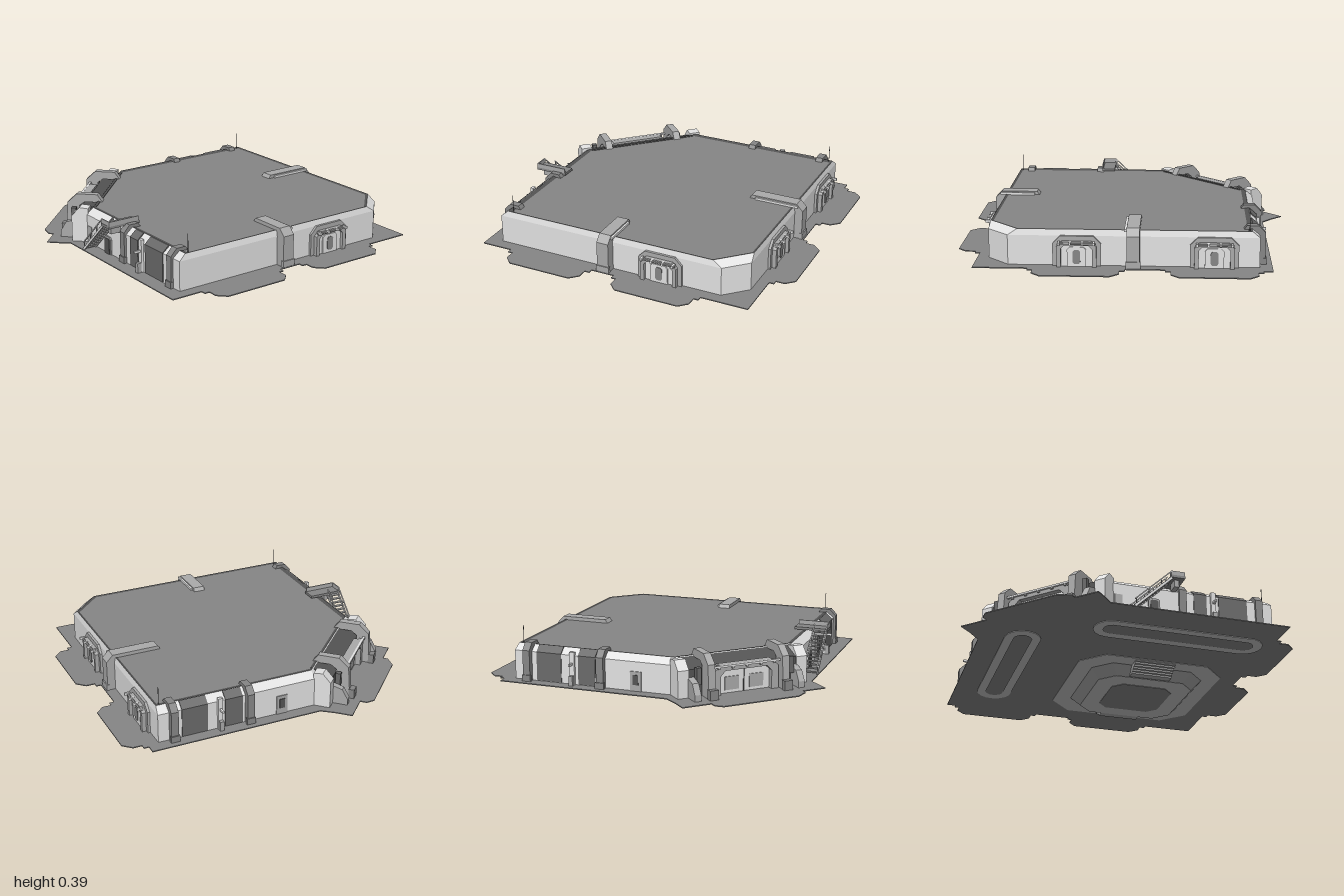
import * as THREE from 'three';

const mat = (name, color) => {
  const m = new THREE.MeshStandardMaterial({ color });
  m.name = name;
  return m;
};

export function createModel() {
  const model = new THREE.Group();
  model.name = 'outpostBase';
  const wall = mat('lightWall', 0xe2e2e2), trim = mat('midTrim', 0xaaaaaa);
  const roofGrey = mat('roofGrey', 0x868686), dark = mat('darkPanel', 0x545454);
  const glass = mat('windowGrey', 0x6a6a6a), marking = mat('underMarking', 0xc4c4c4);

  const add = (parent, name, geo, m) => {
    const mesh = new THREE.Mesh(geo, m);
    mesh.name = name;
    parent.add(mesh);
    return mesh;
  };
  // box given by its centre and size
  const box = (parent, name, m, x, y, z, w, h, d) =>
    add(parent, name, new THREE.BoxGeometry(w, h, d).translate(x, y, z), m);
  // flat slab from plan points [x, z]
  const slab = (parent, name, m, pts, y0, y1, hole) => {
    const s = new THREE.Shape(pts.map(([x, z]) => new THREE.Vector2(x, -z)));
    if (hole) s.holes.push(new THREE.Path(hole.map(([x, z]) => new THREE.Vector2(x, -z))));
    const g = new THREE.ExtrudeGeometry(s, { depth: y1 - y0, bevelEnabled: false });
    return add(parent, name, g.rotateX(-Math.PI / 2).translate(0, y0, 0), m);
  };
  // section [outward, y] swept sideways over a width centred on x
  const rib = (parent, name, m, pts, x, w) => {
    const s = new THREE.Shape(pts.map((p) => new THREE.Vector2(...p)));
    const g = new THREE.ExtrudeGeometry(s, { depth: w, bevelEnabled: false });
    return add(parent, name, g.rotateY(-Math.PI / 2).translate(x + w / 2, 0, 0), m);
  };
  // upright face plate from points [x, y], optionally with a hole
  const face = (parent, name, m, pts, z, d, hole) => {
    const s = new THREE.Shape(pts.map((p) => new THREE.Vector2(...p)));
    if (hole) s.holes.push(new THREE.Path(hole.map((p) => new THREE.Vector2(...p))));
    return add(parent, name, new THREE.ExtrudeGeometry(s, { depth: d, bevelEnabled: false }).translate(0, 0, z), m);
  };
  // skin through plan rings of [x, z] at given heights, bottom to top
  const loft = (name, m, rings, ys, capTop) => {
    const v = [], n = rings[0].length;
    const put = (r, i) => v.push(rings[r][i % n][0], ys[r], rings[r][i % n][1]);
    for (let r = 0; r < rings.length - 1; r++)
      for (let i = 0; i < n; i++) {
        put(r, i); put(r + 1, i); put(r + 1, i + 1);
        put(r, i); put(r + 1, i + 1); put(r, i + 1);
      }
    const t = rings.length - 1;
    for (let i = 1; capTop && i < n - 1; i++) { put(t, 0); put(t, i + 1); put(t, i); }
    const g = new THREE.BufferGeometry();
    g.setAttribute('position', new THREE.Float32BufferAttribute(v, 3));
    g.computeVertexNormals();
    return add(model, name, g, m);
  };
  // one group per side: local z points outward
  const side = (name, angle) => {
    const g = new THREE.Group();
    g.name = name;
    g.rotation.y = angle;
    model.add(g);
    return g;
  };
  const front = side('frontSide', 0), right = side('eastSide', Math.PI / 2);
  const back = side('backSide', Math.PI), left = side('westSide', -Math.PI / 2);
  const gate = side('gateCorner', -Math.PI / 4);

  // ground plate with aprons in front of the doors
  const lump = (c, base, tip) => [[-0.28, base], [-0.28, base + 0.03], [-0.25, base + 0.03], [-0.25, tip - 0.05],
    [-0.2, tip], [0.2, tip], [0.25, tip - 0.05], [0.25, base + 0.03], [0.28, base + 0.03], [0.28, base]]
    .map(([a, b]) => [c + a, b]);
  const k = Math.SQRT1_2;
  const gatePts = [[0.46, 0.85], [0.46, 0.945], [0.31, 0.945], [0.31, 0.975], [0.24, 1.022], [-0.24, 1.022],
    [-0.28, 0.985], [-0.28, 0.945], [-0.46, 0.945], [-0.46, 0.85]].map(([s, n]) => [(s - n) * k, (s + n) * k]);
  slab(model, 'groundPlate', roofGrey, [
    [-0.865, -0.865], ...lump(-0.53, 0.865, 1).map(([x, z]) => [x, -z]),
    ...lump(0.26, 0.865, 1).map(([x, z]) => [x, -z]), [0.86, -0.865],
    ...lump(-0.295, 0.86, 1).map(([z, x]) => [x, z]), ...lump(0.41, 0.86, 1).map(([z, x]) => [x, z]),
    [0.86, 0.885], [-0.24, 0.885], ...gatePts, [-0.865, 0.2]], 0.066, 0.072);

  // main walls, rim and roof; insets for left/front, back/right, back corner and gate corner
  const outline = (a, b, c, g) => {
    const L = -0.79 + a, F = 0.79 - a, B = -0.8 + b, R = 0.79 - b;
    const corner = 1.46 - 1.414 * c, cut = 0.99 - 1.414 * g;
    return [[L, B], [corner + B, B], [R, R - corner], [R, F], [F - cut, F], [L, L + cut]];
  };
  const base = outline(0, 0, 0, 0), crest = outline(0.045, 0.008, 0.045, 0.035), roofEdge = outline(0.07, 0.022, 0.06, 0.05);
  loft('mainWalls', wall, [base, base, crest], [0.07, 0.248, 0.285]);
  loft('roofRim', dark, [crest, roofEdge], [0.285, 0.28]);
  loft('roof', roofGrey, [roofEdge, roofEdge], [0.279, 0.28], true);

  // landing pad under the plate
  const oct = (h, c) => [[-h + c, -h], [h - c, -h], [h, -h + c], [h, h - c], [h - c, h], [-h + c, h], [-h, h - c], [-h, -h + c]]
    .map(([x, z]) => [x + 0.265, z - 0.25]);
  loft('padSides', trim, [oct(0.31, 0.09), oct(0.37, 0.11)], [0.004, 0.067]);
  slab(model, 'padBottom', marking, oct(0.31, 0.09), 0.003, 0.006);
  slab(model, 'padCentre', roofGrey, oct(0.2, 0.06), 0, 0.004);
  slab(model, 'padBorder', marking, oct(0.47, 0.14), 0.063, 0.067);
  for (let i = 0; i < 6; i++) {
    const y = 0.01 + i * 0.01;
    box(model, 'padBackStep', trim, 0.26, y + 0.003, -0.57 - i * 0.017, 0.26, 0.012, 0.1);
    box(model, 'padFrontStep', trim, 0.26, y + 0.003, 0.065 + i * 0.017, 0.26, 0.012, 0.1);
  }
  // long rounded track marks on the underside
  const stadium = (l, r) => {
    const p = [];
    for (let i = 0; i < 16; i++) {
      const a = (i / 15) * Math.PI * 2 - Math.PI / 2, sx = i < 8 ? 1 : -1;
      p.push([sx * (l - r) + r * Math.cos(a), r * Math.sin(a)]);
    }
    return p;
  };
  const underMark = (x, z, turn) => {
    const m = slab(model, 'underMark', marking, stadium(0.53, 0.11), 0.062, 0.067, stadium(0.47, 0.055));
    m.position.set(x, 0, z);
    m.rotation.y = turn;
  };
  underMark(0.28, 0.57, 0);
  underMark(-0.61, -0.13, Math.PI / 2);

  // piers and long roof beams clamped over the wall
  const clamp = (g, name, m, x, w, inner, outer) => {
    rib(g, name, m, [[outer - 0.07, 0.07], [outer, 0.07], [outer, 0.26], [outer - 0.04, 0.302],
      [inner + 0.015, 0.302], [inner, 0.28], [inner, 0.27], [outer - 0.07, 0.24]], x, w);
    box(g, name + 'Foot', m, x, 0.09, outer - 0.003, w + 0.01, 0.04, 0.02);
  };
  clamp(front, 'frontPier', roofGrey, 0.225, 0.045, 0.69, 0.805);
  clamp(front, 'frontPier', roofGrey, 0.705, 0.045, 0.69, 0.805);
  clamp(left, 'westPier', roofGrey, -0.71, 0.045, 0.7, 0.825);
  clamp(left, 'westPier', roofGrey, -0.235, 0.045, 0.7, 0.825);
  clamp(back, 'backBeam', trim, 0.065, 0.075, 0.5, 0.85);
  clamp(right, 'eastBeam', trim, -0.06, 0.075, 0.57, 0.85);
  box(back, 'backBeamPipe', wall, 0.02, 0.288, 0.68, 0.012, 0.014, 0.28);
  box(right, 'eastBeamPipe', wall, -0.015, 0.288, 0.71, 0.012, 0.014, 0.22);

  // grey window bays following the wall section
  const bay = (g, x, w) => rib(g, 'windowBay', glass, [[0.785, 0.075], [0.795, 0.075], [0.795, 0.25],
    [0.752, 0.288], [0.745, 0.283], [0.785, 0.24]], x, w);
  bay(front, 0.335, 0.08);
  bay(front, 0.54, 0.18);
  bay(left, -0.575, 0.16);
  bay(left, -0.33, 0.11);
  [[front, 0.415], [left, -0.42]].forEach(([g, x]) => {
    box(g, 'wallPost', wall, x, 0.17, 0.795, 0.03, 0.2, 0.02);
    box(g, 'wallPostFoot', trim, x, 0.1, 0.815, 0.025, 0.06, 0.03);
    box(g, 'wallPostArm', wall, x, 0.2, 0.82, 0.012, 0.014, 0.05);
  });
  box(front, 'servicePanel', trim, -0.165, 0.125, 0.788, 0.045, 0.11, 0.01);
  box(left, 'servicePanel', trim, -0.02, 0.13, 0.79, 0.07, 0.12, 0.012);
  box(left, 'serviceWindow', dark, -0.02, 0.14, 0.797, 0.035, 0.06, 0.006);

  // airlock doors
  const arch = (w, h, c) => [[-w, 0.07], [w, 0.07], [w, h - c], [w - c, h], [-w + c, h], [-w, h - c]];
  const airlock = (parent, x, d) => {
    const g = new THREE.Group();
    g.name = 'airlock';
    g.position.set(x, 0, d);
    parent.add(g);
    face(g, 'airlockSurround', trim, arch(0.14, 0.25, 0.045), -0.02, 0.035);
    face(g, 'airlockFrame', trim, arch(0.115, 0.222, 0.03), 0.015, 0.025, arch(0.09, 0.2, 0.02));
    face(g, 'airlockRecess', wall, arch(0.09, 0.2, 0.02), 0.014, 0.006);
    face(g, 'airlockDoor', wall, arch(0.055, 0.188, 0.015), 0.02, 0.008);
    face(g, 'airlockWindow', roofGrey, [[-0.022, 0.1], [-0.012, 0.088], [0.012, 0.088], [0.022, 0.1],
      [0.022, 0.16], [0.012, 0.172], [-0.012, 0.172], [-0.022, 0.16]], 0.028, 0.004);
    for (const s of [-0.1, -0.035, 0.035, 0.1]) box(g, 'airlockLamp', wall, s, 0.215, 0.045, 0.012, 0.016, 0.035);
    box(g, 'airlockLampRail', trim, 0, 0.21, 0.043, 0.22, 0.008, 0.01);
  };
  airlock(back, 0.53, 0.8);
  airlock(back, -0.26, 0.8);
  airlock(right, 0.29, 0.79);

  // outside stair, landing and small door beneath it
  face(front, 'smallDoorFrame', trim, arch(0.035, 0.18, 0.012), 0.785, 0.014).position.x = 0.05;
  face(front, 'smallDoor', dark, arch(0.024, 0.168, 0.008), 0.799, 0.004).position.x = 0.05;
  for (let i = 0; i < 12; i++) box(front, 'stairTread', trim, -0.085 + i * 0.019, 0.085 + i * 0.018, 0.84, 0.02, 0.006, 0.08);
  const bar = (name, x, y, z, len, t) => {
    const b = add(front, name, new THREE.BoxGeometry(len, t, 0.007), wall);
    b.position.set(x, y, z);
    b.rotation.z = Math.atan2(0.018, 0.019);
  };
  for (const z of [0.8, 0.88]) {
    bar('stairStringer', 0.02, 0.18, z, 0.31, 0.014);
    bar('stairHandrail', 0.02, 0.225, z, 0.31, 0.006);
    for (const i of [0, 4, 8, 11]) box(front, 'stairRailPost', trim, -0.085 + i * 0.019, 0.105 + i * 0.018, z, 0.005, 0.045, 0.005);
  }
  box(front, 'landing', roofGrey, 0.17, 0.297, 0.78, 0.085, 0.016, 0.21);
  box(front, 'landingRail', trim, 0.17, 0.318, 0.88, 0.085, 0.028, 0.007);
  box(front, 'landingRail', trim, 0.21, 0.318, 0.78, 0.007, 0.028, 0.2);
  box(front, 'landingBracket', trim, 0.17, 0.27, 0.82, 0.03, 0.05, 0.07);

  // gate block: light ends, dark sloping top between two raised arms
  rib(gate, 'gateSlope', dark, [[0.65, 0.07], [0.785, 0.07], [0.785, 0.235], [0.662, 0.283], [0.65, 0.283]], 0, 0.71);
  for (const s of [-1, 1]) {
    rib(gate, 'gateEndWall', wall, [[0.69, 0.07], [0.795, 0.07], [0.795, 0.235], [0.745, 0.29], [0.69, 0.285]], s * 0.385, 0.07);
    rib(gate, 'gateArm', trim, [[0.635, 0.275], [0.67, 0.325], [0.8, 0.325], [0.86, 0.27], [0.875, 0.07],
      [0.785, 0.07], [0.785, 0.25], [0.75, 0.275]], s * 0.24, 0.045);
    rib(gate, 'gateButtress', trim, [[0.78, 0.07], [0.885, 0.07], [0.885, 0.11], [0.85, 0.17], [0.78, 0.19]], s * 0.335, 0.04);
    box(gate, 'gateBollard', roofGrey, s * 0.24, 0.1, 0.885, 0.055, 0.06, 0.035);
    box(gate, 'gateLamp', glass, s * 0.3, 0.2, 0.81, 0.03, 0.1, 0.03);
  }
  face(gate, 'gateFrame', trim, arch(0.21, 0.25, 0.04), 0.78, 0.05, arch(0.165, 0.215, 0.03));
  face(gate, 'gateDoor', wall, arch(0.165, 0.215, 0.03), 0.784, 0.012);
  box(gate, 'gateDoorSeam', dark, 0, 0.14, 0.797, 0.008, 0.14, 0.004);
  for (const s of [-1, 1]) box(gate, 'gateDoorPanel', trim, s * 0.08, 0.13, 0.798, 0.09, 0.08, 0.006);
  box(gate, 'gateTopRail', wall, 0, 0.245, 0.835, 0.43, 0.012, 0.014);
  for (let i = -2; i <= 2; i++) box(gate, 'gateRailBracket', trim, i * 0.09, 0.238, 0.825, 0.014, 0.02, 0.03);

  // aerials on the roof
  for (const [x, z] of [[-0.73, -0.77], [0.765, 0.715]])
    add(model, 'aerial', new THREE.CylinderGeometry(0.002, 0.002, 0.12, 6).translate(x, 0.33, z), dark);
  return model;
}
